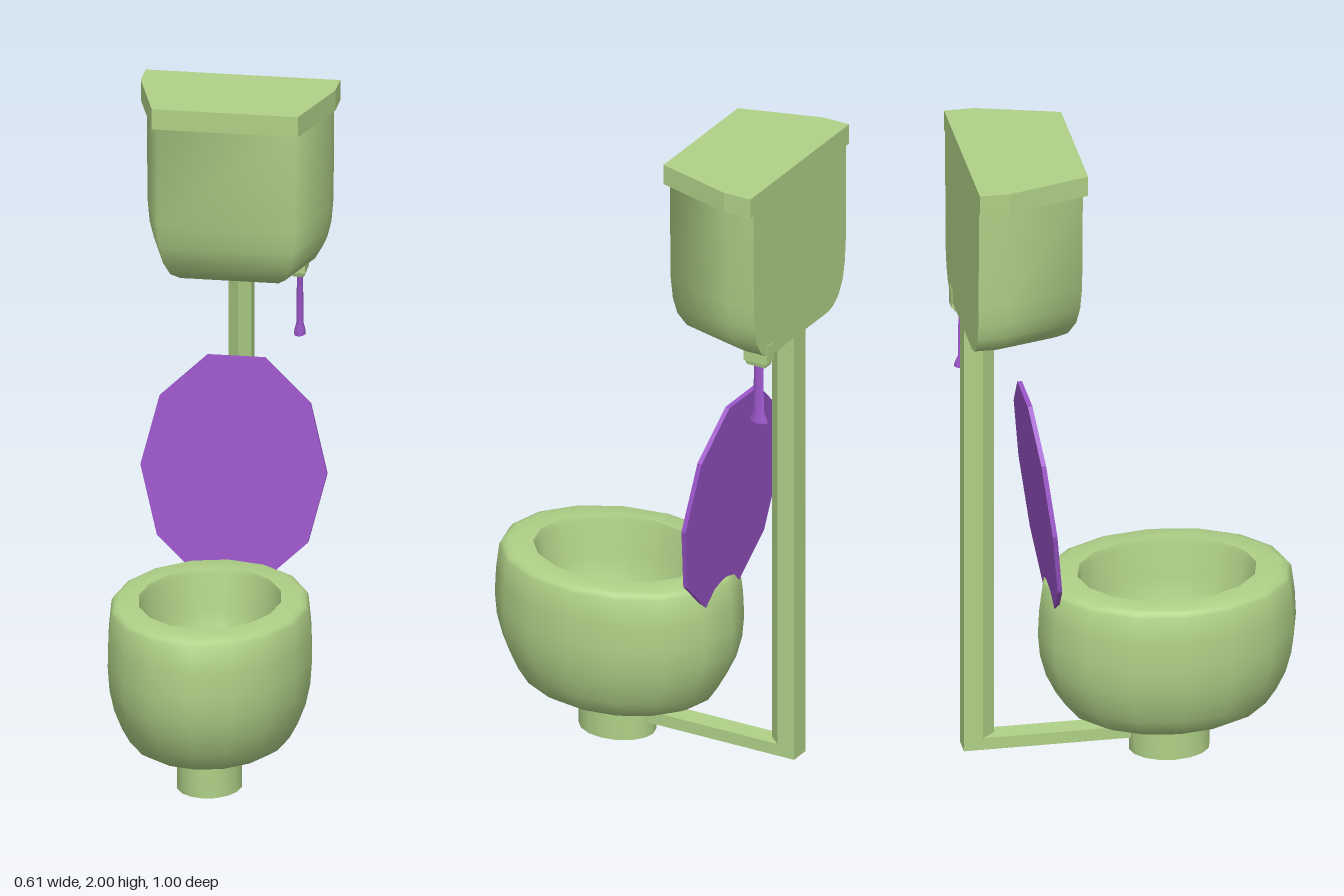
import * as THREE from 'three';
import { toCreasedNormals } from 'three/addons/utils/BufferGeometryUtils.js';

const green = new THREE.MeshStandardMaterial({ color: 0xafd187 });
const purple = new THREE.MeshStandardMaterial({ color: 0x9b55c9 });

function add(group, name, geometry, material, x = 0, y = 0, z = 0) {
  const mesh = new THREE.Mesh(geometry, material);
  mesh.name = name;
  mesh.position.set(x, y, z);
  group.add(mesh);
  return mesh;
}

// Turned shape, stretched along x and z, with hard edges kept
function turned(profile, sides, sx, sz, crease = 0.75) {
  const points = profile.map(([r, y]) => new THREE.Vector2(r, y));
  return toCreasedNormals(new THREE.LatheGeometry(points, sides).scale(sx, 1, sz), crease);
}

// Upright prism from an [x, z] outline
function prism(outline, y0, y1) {
  const shape = new THREE.Shape(outline.map(([x, z]) => new THREE.Vector2(x, -z)));
  const geometry = new THREE.ExtrudeGeometry(shape, { depth: y1 - y0, bevelEnabled: false });
  return geometry.rotateX(-Math.PI / 2).translate(0, y0, 0);
}

// Tank body: six-cornered rings with a flat back, shrinking towards the bottom
function tankGeometry() {
  const back = -0.5;
  const rings = [ // y, half width, front z
    [1.437, 0.165, -0.285], [1.445, 0.195, -0.25], [1.468, 0.228, -0.215],
    [1.51, 0.252, -0.193], [1.56, 0.264, -0.183], [1.63, 0.27, -0.178], [1.95, 0.272, -0.176],
  ];
  const positions = [], index = [], n = 6;
  for (const [y, w, front] of rings) {
    const knee = back + (front - back) * 0.28, f = w * 0.75;
    for (const [x, z] of [[-w, back], [-w, knee], [-f, front], [f, front], [w, knee], [w, back]]) {
      positions.push(x, y, z);
    }
  }
  for (let i = 0; i < rings.length - 1; i++) {
    for (let j = 0; j < n; j++) {
      const a = i * n + j, b = i * n + (j + 1) % n;
      index.push(a, b, b + n, a, b + n, a + n);
    }
  }
  for (let j = 1; j < n - 1; j++) index.push(0, j + 1, j);
  const geometry = new THREE.BufferGeometry();
  geometry.setAttribute('position', new THREE.Float32BufferAttribute(positions, 3));
  geometry.setIndex(index);
  return toCreasedNormals(geometry, 1.4);
}

export function createModel() {
  const model = new THREE.Group();
  model.name = 'highTankToilet';

  // Oval bowl: outer wall, rim, then the hollow inside
  add(model, 'bowl', turned([
    [0, 0.14], [0.21, 0.14], [0.237, 0.158], [0.262, 0.205], [0.285, 0.265], [0.299, 0.33],
    [0.304, 0.4], [0.301, 0.48], [0.293, 0.56], [0.286, 0.572], [0.27, 0.58], [0.211, 0.58],
    [0.207, 0.565], [0.198, 0.46], [0.175, 0.36], [0.14, 0.29], [0.097, 0.25], [0, 0.24],
  ], 16, 1, 1.27), green, 0, 0, 0.113);

  // Foot under the bowl
  add(model, 'foot', turned([[0, 0], [0.097, 0], [0.097, 0.15]], 16, 1, 1.24), green, 0, 0, 0.12);

  // Raised seat lid, a ten-sided plate leaning back
  const lid = new THREE.CylinderGeometry(1, 1, 0.014, 10, 1, false, Math.PI / 2)
    .rotateX(Math.PI / 2).scale(0.278, 0.358, 1).toNonIndexed();
  lid.computeVertexNormals();
  add(model, 'seatLid', lid, purple, 0.01, 0.85, -0.271).rotation.x = -0.115;

  // Water pipe: upright with a ridged front, and a flat run to the foot
  add(model, 'uprightPipe', prism(
    [[-0.034, -0.5], [-0.034, -0.443], [0, -0.405], [0.034, -0.443], [0.034, -0.5]], 0.053, 1.46), green);
  add(model, 'lowerPipe', new THREE.BoxGeometry(0.068, 0.038, 0.48), green, 0, 0.072, -0.24);

  // Tank and its cover
  add(model, 'tank', tankGeometry(), green);
  add(model, 'tankCover', prism(
    [[-0.29, -0.5], [-0.29, -0.41], [-0.218, -0.163], [0.218, -0.163], [0.29, -0.41], [0.29, -0.5]],
    1.937, 2), green);

  // Flush pull: bracket, tapered collar and flared handle
  add(model, 'pullBracket', new THREE.BoxGeometry(0.042, 0.06, 0.08), green, 0.176, 1.446, -0.462);
  const collar = new THREE.CylinderGeometry(0.055, 0.045, 0.015, 4, 1, false, Math.PI / 4)
    .scale(0.5, 1, 0.95).toNonIndexed();
  collar.computeVertexNormals();
  add(model, 'pullCollar', collar, green, 0.176, 1.41, -0.462);
  add(model, 'pullHandle', turned([
    [0, 1.215], [0.03, 1.215], [0.029, 1.225], [0.018, 1.25], [0.016, 1.405],
  ], 8, 0.58, 1), purple, 0.176, 0, -0.462);

  return model;
}
